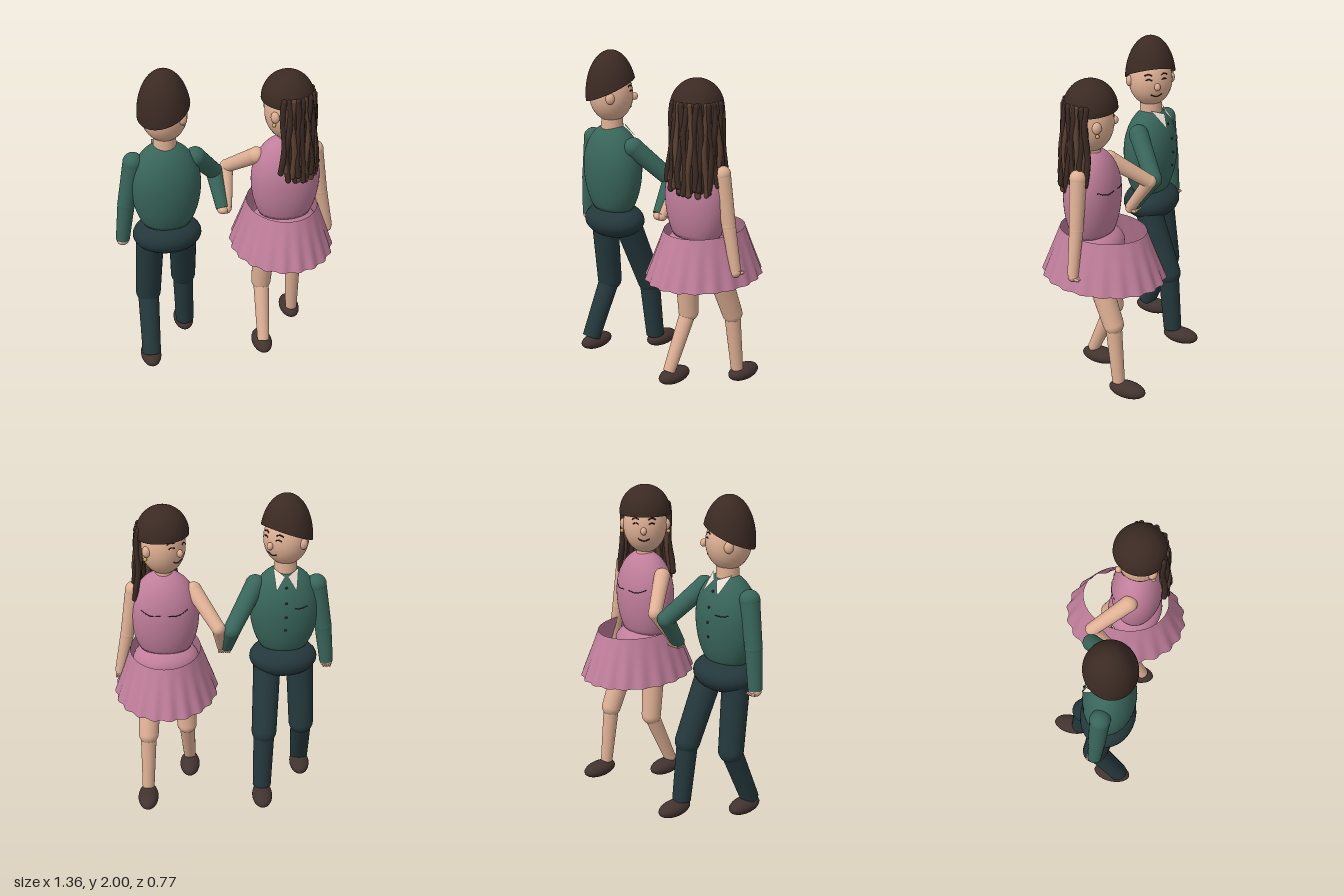
import * as THREE from 'three';

const mat = (color, side = THREE.FrontSide) => new THREE.MeshStandardMaterial({ color, side });
const SKIN = mat(0xdfb094), GREEN = mat(0x38655a), NAVY = mat(0x24383c), PINK = mat(0xc07e9b);
const PINK_CLOTH = mat(0xc07e9b, THREE.DoubleSide), SHOE = mat(0x42332f), HAIR = mat(0x3b2a23, THREE.DoubleSide);
const HAIR_LIGHT = mat(0x5a4030), DARK = mat(0x33221d), CREAM = mat(0xe6ddd0, THREE.DoubleSide), GOLD = mat(0xd0a95a);
const V = (a) => new THREE.Vector3(...a);
const BODY_Z = 0.07; // torso and head sit slightly behind the centre line

function add(parent, name, geometry, material, pos = [0, 0, 0]) {
  const mesh = new THREE.Mesh(geometry, material);
  mesh.name = name;
  mesh.position.set(...pos);
  parent.add(mesh);
  return mesh;
}

// Ellipsoid, with fewer sides for small details
function ball(parent, name, material, pos, rx, ry = rx, rz = rx) {
  const small = Math.max(rx, ry, rz) < 0.04;
  const mesh = add(parent, name, new THREE.SphereGeometry(1, small ? 14 : 28, small ? 10 : 18), material, pos);
  mesh.scale.set(rx, ry, rz);
}

function group(parent, name) {
  const g = new THREE.Group();
  g.name = name;
  parent.add(g);
  return g;
}

// Tapered cylinder between two points with a ball at its start
function segment(parent, name, material, from, to, r0, r1) {
  const a = V(from), d = V(to).sub(a);
  const mesh = add(parent, name, new THREE.CylinderGeometry(r1, r0, d.length(), 28), material);
  mesh.position.copy(a).addScaledVector(d, 0.5);
  mesh.quaternion.setFromUnitVectors(new THREE.Vector3(0, 1, 0), d.normalize());
  ball(parent, name + 'Joint', material, from, r0 * 1.02);
}

// Shoulder, elbow, wrist and a small hand with curled fingers
function arm(parent, name, sleeve, [shoulder, elbow, wrist], r) {
  const g = group(parent, name);
  segment(g, 'upperArm', sleeve, shoulder, elbow, r[0], r[1]);
  segment(g, 'forearm', sleeve, elbow, wrist, r[1], r[2]);
  const [x, y, z] = wrist;
  ball(g, 'palm', SKIN, [x, y - 0.008, z], r[2] * 0.9, 0.03, r[2] * 0.95);
  for (let i = 0; i < 4; i++) {
    const fx = x + (i - 1.5) * 0.013;
    ball(g, 'finger', SKIN, [fx, y - 0.014, z - 0.034], 0.007, 0.009, 0.02);
  }
}

// Hip, knee, ankle and an oval shoe pointing forward
function leg(parent, name, cloth, [hip, knee, ankle], r, shoe) {
  const g = group(parent, name);
  segment(g, 'thigh', cloth, hip, knee, r[0], r[1]);
  segment(g, 'shin', cloth, knee, ankle, r[2], r[3]);
  ball(g, 'kneeCap', cloth, knee, r[1]);
  ball(g, 'shoe', SHOE, shoe, 0.064, 0.05, 0.12);
}

// Egg-shaped torso; returns a function giving its front surface depth
function torso(parent, x, material, midY, rise) {
  const radius = (y) => 0.21 * Math.sqrt(Math.max(0, 1 - ((y - midY) / (y > midY ? rise : 0.36)) ** 2));
  const pts = [new THREE.Vector2(0, 1.0)];
  for (let i = 0; i <= 32; i++) {
    const y = 1.0 + (midY + rise - 1.0) * Math.sin((i / 32) * Math.PI / 2);
    pts.push(new THREE.Vector2(radius(y), y));
  }
  const mesh = add(parent, 'torso', new THREE.LatheGeometry(pts, 48), material, [x, 0, BODY_Z]);
  mesh.scale.z = 0.75;
  return (dx, y) => BODY_Z - 0.75 * Math.sqrt(Math.max(0, radius(y) ** 2 - dx * dx));
}

const tube = (points, r) => new THREE.TubeGeometry(new THREE.CatmullRomCurve3(points), 20, r, 8);

// Thin seam drawn on the chest
function seam(parent, x, front, pts) {
  add(parent, 'chestSeam', tube(pts.map(([dx, y]) => V([x + dx, y, front(dx, y)])), 0.003), DARK);
}

// Dome of hair cut by a plane sloping from front to back
function hairCap(parent, y, r, ry, frontCut, backCut) {
  const geo = new THREE.SphereGeometry(1, 56, 24, 0, Math.PI * 2, 0, 2);
  const p = geo.attributes.position, uv = geo.attributes.uv;
  for (let i = 0; i < p.count; i++) {
    const a = uv.getX(i) * Math.PI * 2, f = (1 + Math.cos(a)) / 2;
    const t = (1 - uv.getY(i)) * Math.acos((backCut + (frontCut - backCut) * f - y) / ry);
    p.setXYZ(i, r * Math.sin(t) * Math.sin(a), ry * Math.cos(t), r * Math.sin(t) * Math.cos(a));
  }
  geo.computeVertexNormals();
  add(parent, 'hairCap', geo, HAIR, [0, y, 0]);
}

// Head built facing +z, then turned towards the partner
function head(parent, x, yaw, y, ry) {
  const g = group(parent, 'head');
  g.position.set(x, 0, BODY_Z + 0.005);
  g.rotation.y = yaw;
  const r = 0.136;
  ball(g, 'face', SKIN, [0, y, 0], r, ry, r);
  ball(g, 'nose', SKIN, [0, y - 0.01, r + 0.008], 0.019, 0.024, 0.02);
  const line = (name, pts, w) => add(g, name, tube(pts.map(([px, py]) =>
    V([px, y + py, r * Math.sqrt(1 - (px / r) ** 2 - (py / ry) ** 2)])), w), DARK);
  for (const s of [-1, 1]) {
    ball(g, 'ear', SKIN, [s * 0.135, y, 0], 0.022, 0.035, 0.028);
    line('closedEye', [[s * 0.03, 0.03], [s * 0.048, 0.037], [s * 0.066, 0.03]], 0.0035);
    line('eyebrow', [[s * 0.028, 0.058], [s * 0.05, 0.066], [s * 0.072, 0.056]], 0.004);
  }
  line('smile', [[-0.036, -0.062], [0, -0.077], [0.036, -0.062]], 0.004);
  return g;
}

function createMan() {
  const g = new THREE.Group(), x = -0.37;
  g.name = 'man';
  const front = torso(g, x, GREEN, 1.27, 0.275);
  ball(g, 'pelvis', NAVY, [x, 0.92, 0.06], 0.21, 0.112, 0.17);
  add(g, 'neck', new THREE.CylinderGeometry(0.065, 0.07, 0.14, 28), SKIN, [x, 1.56, BODY_Z]);

  // Shirt collar, buttons and pocket seam
  for (const s of [-1, 1]) {
    const pts = [[s * 0.075, 1.545, 0.03], [s * 0.008, 1.515, -0.03], [s * 0.06, 1.44, -0.075]];
    const geo = new THREE.BufferGeometry().setFromPoints(pts.map(([a, b, c]) => V([x + a, b, c])));
    geo.computeVertexNormals();
    add(g, 'collar', geo, CREAM);
  }
  for (let i = 0; i < 4; i++) {
    const y = 1.45 - i * 0.09;
    ball(g, 'button', DARK, [x, y, front(0, y)], 0.008);
  }
  seam(g, x, front, [[-0.13, 1.33], [-0.09, 1.322], [-0.05, 1.325]]);

  const r = [0.06, 0.052, 0.042];
  arm(g, 'outerArm', GREEN, [[-0.56, 1.42, 0.06], [-0.61, 1.14, 0.05], [-0.64, 0.89, 0.04]], r);
  arm(g, 'innerArm', GREEN, [[-0.19, 1.42, 0.06], [-0.045, 1.21, -0.12], [-0.015, 1.02, 0.01]], r);
  const lr = [0.085, 0.078, 0.066, 0.058];
  leg(g, 'outerLeg', NAVY, [[-0.475, 0.88, 0.05], [-0.493, 0.46, 0.0], [-0.505, 0.09, 0.16]], lr, [-0.505, 0.05, 0.115]);
  leg(g, 'innerLeg', NAVY, [[-0.27, 0.88, 0.03], [-0.25, 0.48, -0.13], [-0.24, 0.09, -0.17]], lr, [-0.24, 0.05, -0.23]);

  const h = head(g, x, Math.PI * 0.75, 1.725, 0.165);
  hairCap(h, 1.73, 0.157, 0.27, 1.83, 1.69);
  return g;
}

function createWoman() {
  const g = new THREE.Group(), x = 0.357;
  g.name = 'woman';
  const front = torso(g, x, PINK, 1.24, 0.28);
  ball(g, 'pelvis', PINK, [x, 0.92, 0.06], 0.205, 0.112, 0.17);
  add(g, 'neck', new THREE.CylinderGeometry(0.05, 0.055, 0.14, 28), SKIN, [x, 1.52, BODY_Z]);
  for (const s of [-1, 1]) seam(g, x, front, [[s * 0.14, 1.31], [s * 0.08, 1.285], [s * 0.02, 1.29]]);

  // Flared oval skirt, rippled at the hem
  const geo = new THREE.CylinderGeometry(1, 1, 0.295, 180, 8, true);
  const p = geo.attributes.position;
  for (let i = 0; i < p.count; i++) {
    const t = 0.5 - p.getY(i) / 0.295, a = Math.atan2(p.getX(i), p.getZ(i));
    const wave = 1 + 0.022 * t * Math.sin(20 * a);
    p.setX(i, Math.sin(a) * (0.215 + 0.1 * t) * wave);
    p.setZ(i, Math.cos(a) * (0.268 + 0.112 * t) * wave);
  }
  geo.computeVertexNormals();
  add(g, 'skirt', geo, PINK_CLOTH, [x, 0.8825, 0]);

  const r = [0.05, 0.041, 0.032];
  arm(g, 'outerArm', SKIN, [[0.54, 1.4, 0.055], [0.59, 1.1, 0.045], [0.645, 0.835, 0.04]], r);
  arm(g, 'innerArm', SKIN, [[0.18, 1.39, 0.055], [0.035, 1.23, -0.135], [0.01, 1.02, 0.01]], r);
  const lr = [0.075, 0.062, 0.05, 0.038];
  leg(g, 'innerLeg', SKIN, [[0.25, 0.88, 0.05], [0.235, 0.45, 0.005], [0.222, 0.09, 0.16]], lr, [0.222, 0.05, 0.115]);
  leg(g, 'outerLeg', SKIN, [[0.455, 0.88, 0.03], [0.475, 0.47, -0.13], [0.488, 0.09, -0.17]], lr, [0.488, 0.05, -0.23]);

  const h = head(g, x, -Math.PI * 0.75, 1.685, 0.18);
  hairCap(h, 1.765, 0.157, 0.167, 1.765, 1.74);
  for (const s of [-1, 1]) ball(h, 'earring', GOLD, [s * 0.145, 1.64, 0], 0.012);

  // Long wavy strands hanging around the back of the head, in two layers
  for (let i = 0; i < 27; i++) {
    const inner = i % 2, spread = ((i - 13) / 13) * 1.15, pts = [];
    const end = 1.31 + 0.025 * Math.sin(i * 2.3) + 0.05 * (spread / 1.15) ** 4;
    for (let k = 0; k <= 6; k++) {
      const t = k / 6, a = spread + 0.05 * Math.sin(t * 7 + i * 1.7);
      const R = 0.148 + 0.032 * t + 0.006 * Math.sin(t * 8 + i) - inner * 0.012;
      pts.push(V([Math.sin(a) * R, 1.8 + (end - 1.8) * t, -Math.cos(a) * R]));
    }
    const material = i % 3 === 1 ? HAIR_LIGHT : HAIR;
    add(h, 'hairStrand', tube(pts, 0.018), material);
    ball(h, 'strandRoot', material, pts[0].toArray(), 0.018);
    ball(h, 'strandTip', material, pts[6].toArray(), 0.018);
  }
  return g;
}

export function createModel() {
  const model = new THREE.Group();
  model.name = 'walkingCouple';
  model.add(createMan(), createWoman());
  return model;
}
